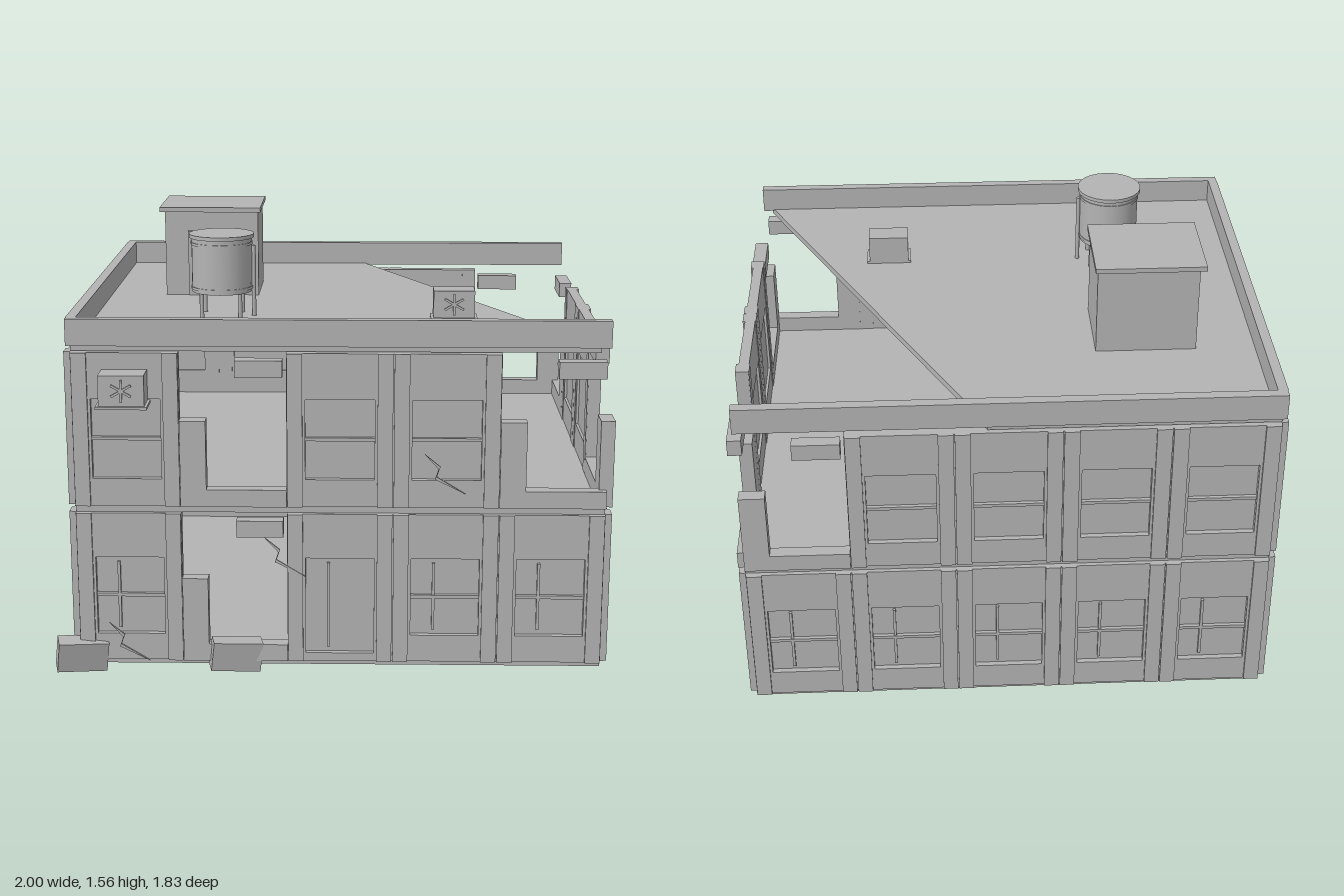
import * as THREE from 'three';

const concrete = new THREE.MeshStandardMaterial({ color: 0xb4b4b4 });
concrete.name = 'grey concrete';

const CX = 0.0325, CZ = -0.053;      // centre of the floor plan
const LX = 1.875, LZ = 1.68;         // plan size
const FLOORS = [0.05, 0.632];        // wall base of each storey
const WALL_H = 0.555;

function mesh(parent, name, geo, x = 0, y = 0, z = 0) {
  const m = new THREE.Mesh(geo, concrete);
  m.name = name;
  m.position.set(x, y, z);
  parent.add(m);
  return m;
}

// Box given by its limits on each axis
function box(parent, name, x0, x1, y0, y1, z0, z1) {
  return mesh(parent, name, new THREE.BoxGeometry(x1 - x0, y1 - y0, z1 - z0),
    (x0 + x1) / 2, (y0 + y1) / 2, (z0 + z1) / 2);
}

function rectPath(path, x0, x1, y0, y1) {
  path.moveTo(x0, y0);
  path.lineTo(x1, y0);
  path.lineTo(x1, y1);
  path.lineTo(x0, y1);
  path.closePath();
  return path;
}

// Intact bay: pierced panel, recessed pane, bars and two pilasters
function wallBay(w, upper, door) {
  const g = new THREE.Group();
  g.name = door ? 'doorBay' : 'windowBay';
  const h = w / 2, hw = w * 0.325, y0 = door ? 0.03 : 0.1, y1 = 0.39;
  const shape = rectPath(new THREE.Shape(), -h, h, 0, WALL_H);
  shape.holes.push(rectPath(new THREE.Path(), -hw, hw, y0, y1));
  mesh(g, 'wallPanel', new THREE.ExtrudeGeometry(shape, { depth: 0.038, bevelEnabled: false }), 0, 0, -0.022);
  box(g, 'pane', -hw, hw, y0, y1, -0.012, -0.004);
  if (!door) {
    const mid = (y0 + y1) / 2;
    box(g, 'crossBar', -hw, hw, mid - 0.006, mid + 0.006, -0.004, 0.01);
  }
  if (!upper) box(g, 'uprightBar', -0.046, -0.036, y0 + 0.02, y1 - 0.02, -0.004, 0.008);
  for (const s of [-1, 1]) {
    const outer = s * h, inner = s * (h - 0.058);
    box(g, 'pilaster', Math.min(outer, inner) + 0.002, Math.max(outer, inner) - 0.002, 0, WALL_H, -0.025, 0.025);
  }
  return g;
}

// Ruined bay: low sill, broken upright and a stray lintel fragment
function ruinedBay(w) {
  const g = new THREE.Group();
  g.name = 'ruinedBay';
  const h = w / 2;
  box(g, 'brokenSill', -h, h, 0, 0.063, -0.025, 0.025);
  box(g, 'brokenUpright', -h, -h + w * 0.245, 0.063, 0.313, -0.025, 0.025);
  box(g, 'lintelFragment', 0.008, w * 0.465, 0.47, 0.53, -0.025, 0.025);
  return g;
}

// One side of the building; ruins holds "storey,bay" keys, bays counted from its left
function facade(name, count, length, x, z, turn, ruins, door) {
  const g = new THREE.Group();
  g.name = name;
  const w = length / count;
  FLOORS.forEach((base, storey) => {
    for (let i = 0; i < count; i++) {
      const key = storey + ',' + i;
      const bay = ruins.includes(key) ? ruinedBay(w) : wallBay(w, storey === 1, key === door);
      bay.position.set((i - (count - 1) / 2) * w, base, 0);
      g.add(bay);
    }
  });
  g.position.set(x, 0, z);
  g.rotation.y = turn;
  return g;
}

// Zigzag crack plate
function crack(parent, x, y) {
  const pts = [[0, 0], [0.055, -0.045], [0.043, -0.082], [0.145, -0.145]];
  const s = new THREE.Shape();
  s.moveTo(...pts[0]);
  pts.slice(1).forEach(p => s.lineTo(...p));
  pts.slice(1, 3).reverse().forEach(p => s.lineTo(p[0] - 0.006, p[1] - 0.009));
  s.closePath();
  mesh(parent, 'crack', new THREE.ExtrudeGeometry(s, { depth: 0.008, bevelEnabled: false }), x, y, 0.808);
}

// Fan unit with a star-shaped grille on its front
function fanUnit(parent, name, x0, x1, y0, y1, z0, z1) {
  const g = new THREE.Group();
  g.name = name;
  box(g, 'casing', x0, x1, y0, y1, z0, z1);
  box(g, 'tray', x0 - 0.01, x1 + 0.01, y0 - 0.01, y0, z0, z1 + 0.012);
  for (let i = 0; i < 3; i++) {
    const blade = mesh(g, 'fanBlade', new THREE.BoxGeometry(0.008, 0.08, 0.006),
      (x0 + x1) / 2, (y0 + y1) / 2, z1 + 0.003);
    blade.rotation.z = i * Math.PI / 3;
  }
  parent.add(g);
}

export function createModel() {
  const root = new THREE.Group();
  root.name = 'ruinedBuilding';
  const x0 = CX - LX / 2, x1 = CX + LX / 2, z0 = CZ - LZ / 2, z1 = CZ + LZ / 2;

  // Floor slabs
  box(root, 'groundSlab', x0, x1, 0.03, 0.05, z0, z1);
  box(root, 'middleSlab', x0, x1, 0.605, 0.632, z0, z1);

  // Walls
  root.add(
    facade('frontWall', 5, LX, CX, z1, 0, ['1,1', '1,4', '0,1'], '0,2'),
    facade('rightWall', 4, LZ, x1, CZ, Math.PI / 2, ['1,0', '1,3', '0,1']),
    facade('backWall', 5, LX, CX, z0, Math.PI, ['1,0']),
    facade('leftWall', 4, LZ, x0, CZ, -Math.PI / 2, ['0,2']));

  // Roof slab, broken off along a diagonal
  const roof = new THREE.Shape();
  roof.moveTo(x0, -z1);
  roof.lineTo(0.937, -z1);
  roof.lineTo(0.105, -z0);
  roof.lineTo(x0, -z0);
  roof.closePath();
  const slab = mesh(root, 'roofSlab', new THREE.ExtrudeGeometry(roof, { depth: 0.025, bevelEnabled: false }), 0, 1.19, 0);
  slab.rotation.x = -Math.PI / 2;

  // Parapet on three sides
  box(root, 'frontParapet', -0.92, 0.97, 1.21, 1.305, 0.767, 0.803);
  box(root, 'backParapet', -0.92, 0.97, 1.21, 1.305, -0.908, -0.87);
  box(root, 'leftParapet', -0.922, -0.886, 1.21, 1.305, -0.87, 0.767);

  // Stair hut
  const hut = new THREE.Group();
  hut.name = 'stairHut';
  box(hut, 'hutBody', -0.67, -0.305, 1.21, 1.545, -0.437, -0.127);
  box(hut, 'hutRoof', -0.69, -0.295, 1.545, 1.563, -0.46, -0.113);
  box(hut, 'hutDoor', -0.58, -0.4, 1.215, 1.47, -0.127, -0.119);
  root.add(hut);

  // Water tank on legs
  const tank = new THREE.Group();
  tank.name = 'waterTank';
  tank.position.set(-0.415, 0, 0.28);
  const drum = (name, r, y, h, parts = 24) =>
    mesh(tank, name, new THREE.CylinderGeometry(r, r, h, parts), 0, y, 0);
  drum('tankBody', 0.112, 1.41, 0.2);
  drum('tankLid', 0.121, 1.518, 0.014);
  drum('tankBand', 0.115, 1.49, 0.01);
  drum('tankBand', 0.115, 1.325, 0.01);
  for (let i = 0; i < 4; i++) {
    const a = Math.PI / 4 + i * Math.PI / 2;
    mesh(tank, 'tankLeg', new THREE.CylinderGeometry(0.008, 0.008, 0.1, 8), 0.1 * Math.cos(a), 1.26, 0.1 * Math.sin(a));
  }
  mesh(tank, 'tankPipe', new THREE.CylinderGeometry(0.008, 0.008, 0.27, 8), 0.118, 1.345, 0);
  root.add(tank);

  // Fan units on the wall and roof
  fanUnit(root, 'wallFanUnit', -0.797, -0.638, 1.02, 1.128, 0.8, 0.9);
  fanUnit(root, 'roofFanUnit', 0.37, 0.522, 1.225, 1.325, 0.273, 0.362);

  // Cracks on the front
  crack(root, -0.797, 0.195);
  crack(root, -0.235, 0.52);
  crack(root, 0.33, 0.83);

  // Fallen blocks
  const block1 = mesh(root, 'fallenBlock', new THREE.BoxGeometry(0.18, 0.115, 0.065), -0.9, 0.07, 0.8);
  block1.rotation.set(0.2, 0.25, -0.12);
  const block2 = mesh(root, 'fallenBlock', new THREE.BoxGeometry(0.18, 0.11, 0.06), -0.342, 0.072, 0.8);
  block2.rotation.set(0.1, 0.22, -0.12);

  return root;
}
